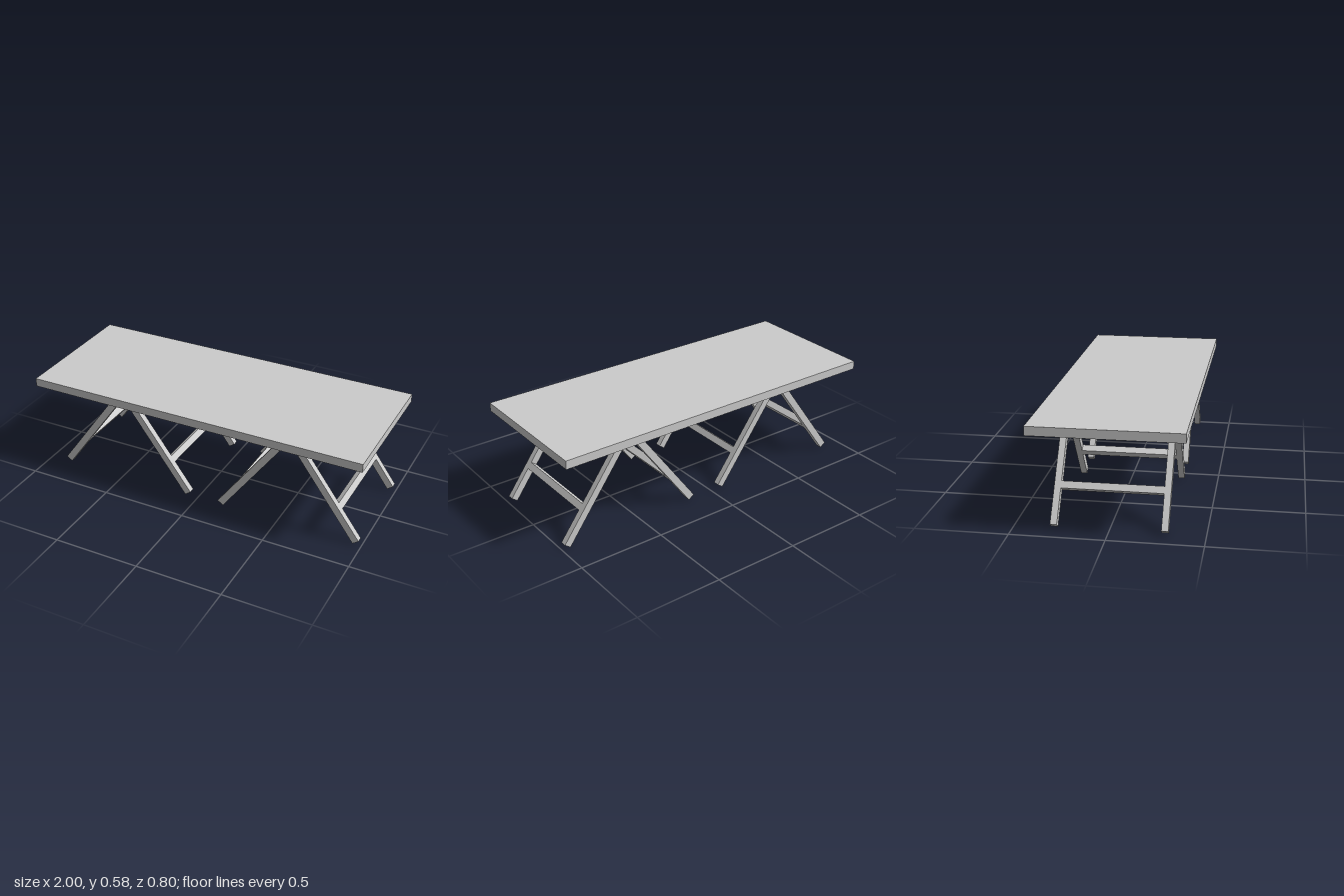
import * as THREE from 'three';

const material = new THREE.MeshStandardMaterial({ color: 0xcccccc, flatShading: true });

const LEAN = 0.63;        // leg angle from the vertical
const THICK = 0.041;      // thickness of a leg frame
const LENGTH = 0.631;     // length of a leg along its slope
const OUTER = 0.307;      // half width of a frame
const INNER = 0.271;      // half width between the legs
const FOOT = 0.426;       // distance of the outer foot edge from the trestle centre

function box(name, w, h, d, x, y, z) {
  const mesh = new THREE.Mesh(new THREE.BoxGeometry(w, h, d), material);
  mesh.name = name;
  mesh.position.set(x, y, z);
  return mesh;
}

// Two legs with an upper and a lower rail, cut from one flat outline
function frameGeometry() {
  const shape = new THREE.Shape([
    [-OUTER, 0], [-INNER, 0], [-INNER, 0.196], [INNER, 0.196],
    [INNER, 0], [OUTER, 0], [OUTER, LENGTH], [-OUTER, LENGTH],
  ].map(([x, y]) => new THREE.Vector2(x, y)));
  shape.holes.push(new THREE.Path([
    [-INNER, 0.235], [-INNER, 0.585], [INNER, 0.585], [INNER, 0.235],
  ].map(([x, y]) => new THREE.Vector2(x, y))));
  const geometry = new THREE.ExtrudeGeometry(shape, { depth: THICK, bevelEnabled: false });
  // Stand the outline across z, lean it inwards and set the foot on the floor
  geometry.translate(0, 0, -THICK);
  geometry.rotateY(Math.PI / 2);
  geometry.rotateZ(LEAN);
  geometry.translate(FOOT, THICK * Math.sin(LEAN), 0);
  return geometry;
}

// Trestle: two leaning frames either side of a square beam
function createTrestle(name, x, geometry) {
  const trestle = new THREE.Group();
  trestle.name = name;
  trestle.position.x = x;
  for (const [side, turn] of [['leftLegFrame', 0], ['rightLegFrame', Math.PI]]) {
    const frame = new THREE.Mesh(geometry, material);
    frame.name = side;
    frame.rotation.y = turn;
    trestle.add(frame);
  }
  trestle.add(box('beam', 0.042, 0.042, OUTER * 2, 0, 0.514, 0));
  return trestle;
}

export function createModel() {
  const table = new THREE.Group();
  table.name = 'trestleTable';
  table.add(box('tableTop', 2, 0.049, 0.802, 0, 0.5595, 0));
  const geometry = frameGeometry();
  table.add(createTrestle('rightTrestle', -0.473, geometry));
  table.add(createTrestle('leftTrestle', 0.556, geometry));
  return table;
}
